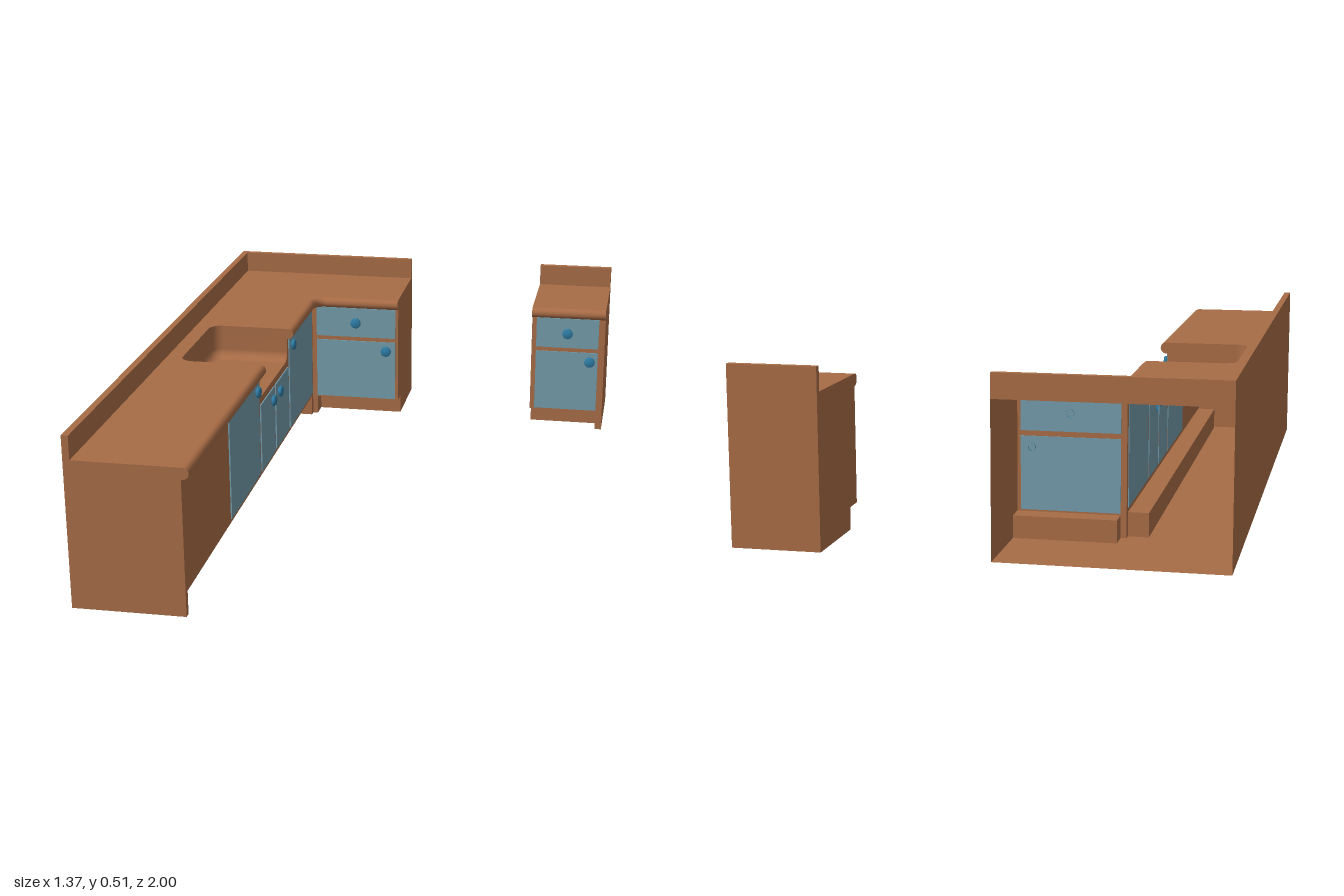
import * as THREE from 'three';

const paint = (color) => new THREE.MeshStandardMaterial({ color, side: THREE.DoubleSide });
const wood = paint(0xa86c46), blue = paint(0x739baa), knobBlue = paint(0x2e7da6);

// Main dimensions
const TOP = 0.44, SPLASH = 0.51, LIP = 0.405;
const XB = -0.685, XF = -0.357, XE = -0.045;     // long run back and front, end of the return
const ZB = -1, ZF = -0.682;                      // back and front of the return and small unit
const KICK = 0.065, DEPTH = 0.06;                // toe recess height and depth
const SINK = { z0: 0.115, z1: -0.275, back: -0.615, floor: 0.33, r: 0.03 };

function add(parent, name, geometry, material = wood) {
  const mesh = new THREE.Mesh(geometry, material);
  mesh.name = name;
  parent.add(mesh);
  return mesh;
}

// Flat panel across one axis: x takes (z, y) points, y takes (x, z), z takes (x, y)
function sheet(parent, name, axis, at, pts, holes = []) {
  const shape = new THREE.Shape(pts.map(([a, b]) => new THREE.Vector2(a, b)));
  for (const [a0, a1, b0, b1] of holes)
    shape.holes.push(new THREE.Path([[a0, b0], [a0, b1], [a1, b1], [a1, b0]].map(([a, b]) => new THREE.Vector2(a, b))));
  const g = new THREE.ShapeGeometry(shape), p = g.attributes.position;
  for (let i = 0; i < p.count; i++) {
    const a = p.getX(i), b = p.getY(i);
    if (axis === 'x') p.setXYZ(i, at, b, a);
    else if (axis === 'y') p.setXYZ(i, a, at, b);
    else p.setXYZ(i, a, b, at);
  }
  g.computeVertexNormals();
  return add(parent, name, g);
}
const rect = (a0, a1, b0, b1) => [[a0, b0], [a1, b0], [a1, b1], [a0, b1]];

// Surface through rows of equally many points
function loft(parent, name, rows) {
  const n = rows[0].length, index = [];
  for (let i = 0; i < rows.length - 1; i++)
    for (let j = 0; j < n - 1; j++) {
      const a = i * n + j, b = a + n;
      index.push(a, b, a + 1, b, b + 1, a + 1);
    }
  const g = new THREE.BufferGeometry();
  g.setAttribute('position', new THREE.Float32BufferAttribute(rows.flat(2), 3));
  g.setIndex(index);
  g.computeVertexNormals();
  return add(parent, name, g);
}

function box(parent, name, x0, x1, y0, y1, z0, z1, material = wood) {
  const g = new THREE.BoxGeometry(x1 - x0, y1 - y0, z1 - z0);
  g.translate((x0 + x1) / 2, (y0 + y1) / 2, (z0 + z1) / 2);
  return add(parent, name, g, material);
}

const arc = (cx, cz, r, a0, a1, n = 8) => Array.from({ length: n + 1 }, (_, i) => {
  const a = (a0 + (a1 - a0) * i / n) * Math.PI / 180;
  return [cx + r * Math.cos(a), cz + r * Math.sin(a)];
});

// Rounded counter edge swept along a path of (x, z) points, with end caps
function bullnose(parent, path) {
  const profile = [[0, TOP], ...arc(0.0045, (TOP + LIP) / 2, (TOP - LIP) / 2, 90, -90, 10), [-0.022, LIP]];
  const rows = path.map(([x, z], i) => {
    const p = path[Math.max(i - 1, 0)], q = path[Math.min(i + 1, path.length - 1)];
    const l = Math.hypot(q[0] - p[0], q[1] - p[1]);
    const nx = -(q[1] - p[1]) / l, nz = (q[0] - p[0]) / l;
    return profile.map(([o, y]) => [x + nx * o, y, z + nz * o]);
  });
  loft(parent, 'counterEdge', rows);
  for (const [row, [x, z]] of [[rows[0], path[0]], [rows.at(-1), path.at(-1)]])
    loft(parent, 'counterEdgeCap', [row, row.map(() => [x, 0.4225, z])]);
}

// Door or drawer front [a0, a1, y0, y1, knobA, knobY], facing x or z
function fronts(parent, axis, at, list) {
  const profile = [[0.011, -0.006], [0.011, 0.005], [0.018, 0.008], [0.018, 0.014], [0.014, 0.018], [0, 0.019]];
  for (const [a0, a1, y0, y1, ka, ky] of list) {
    const lo = at - 0.002, hi = at + 0.004;
    if (axis === 'x') box(parent, 'door', lo, hi, y0, y1, a0, a1, blue);
    else box(parent, y1 > 0.4 ? 'drawer' : 'door', a0, a1, y0, y1, lo, hi, blue);
    const g = new THREE.LatheGeometry(profile.map(([r, h]) => new THREE.Vector2(r, h)), 20);
    g.rotateX(Math.PI / 2);
    if (axis === 'x') g.rotateY(Math.PI / 2);
    const knob = add(parent, 'knob', g, knobBlue);
    if (axis === 'x') knob.position.set(at, ky, ka);
    else knob.position.set(ka, ky, at);
  }
}

// Plan of the open-fronted sink, shrunk by an inset
function sinkPlan(i) {
  const { z0, z1, back } = SINK, r = 0.04 - i, x = back + 0.04;
  return [[XF, z0 - i], ...arc(x, z0 - 0.04, r, 90, 180), ...arc(x, z1 + 0.04, r, 180, 270), [XF, z1 + i]];
}

function cornerRun() {
  const g = new THREE.Group();
  g.name = 'cornerCounter';
  const doors = [
    [0.139, 0.507, 0.083, 0.404, 0.174, 0.37],
    [-0.07, 0.118, 0.083, 0.307, -0.032, 0.272],
    [-0.275, -0.088, 0.083, 0.307, -0.126, 0.272],
    [-0.658, -0.294, 0.083, 0.404, -0.329, 0.37],
  ];
  const drawers = [
    [-0.34, -0.055, 0.297, 0.403, -0.197, 0.35],
    [-0.34, -0.055, 0.07, 0.282, -0.088, 0.25],
  ];
  const XK = XF - DEPTH, ZK = ZF - DEPTH, K = 0.07;

  // Sink basin with a rounded foot
  const { z0, z1, floor, r } = SINK;
  const levels = [[0, TOP], ...arc(r, floor + r, r, 180, 270, 6)];
  loft(g, 'sinkWall', levels.map(([i, y]) => sinkPlan(i).map(([x, z]) => [x, y, z])));
  sheet(g, 'sinkFloor', 'y', floor, sinkPlan(r));

  // Worktop and its rounded edge
  const bend = [[XF, z1], ...arc(XF + 0.052, ZF + 0.052, 0.052, 180, 270), [XE, ZF]];
  sheet(g, 'worktop', 'y', TOP, [[XB, ZB], [XB, 1], [XF, 1], ...sinkPlan(0), ...bend.slice(1), [XE, ZB]]);
  bullnose(g, [[XF, 1], [XF, z0]]);
  bullnose(g, bend);

  // Face panels, notched for the sink and toe recess
  const notch = [...levels.map(([i, y]) => [z1 + i, y]), ...levels.map(([i, y]) => [z0 - i, y]).reverse()];
  sheet(g, 'longFace', 'x', XF, [[1, 0], [0.98, 0], [0.98, K], [-0.66, K], [-0.66, 0], [ZF, 0], [ZF, TOP],
    ...notch, [1, TOP]], doors);
  sheet(g, 'returnFace', 'z', ZF, [[XF, 0], [-0.34, 0], [-0.34, KICK], [XE, KICK], [XE, TOP], [XF, TOP]], drawers);
  fronts(g, 'x', XF, doors);
  fronts(g, 'z', ZF, drawers);

  // Toe recesses
  sheet(g, 'longToeKick', 'x', XK, rect(-0.66, 0.98, 0, K));
  sheet(g, 'longToeSoffit', 'y', K, rect(XK, XF, -0.66, 0.98));
  for (const z of [-0.66, 0.98]) sheet(g, 'longToeEnd', 'z', z, rect(XK, XF, 0, K));
  sheet(g, 'returnToeKick', 'z', ZK, rect(-0.34, XE, 0, KICK));
  sheet(g, 'returnToeSoffit', 'y', KICK, rect(-0.34, XE, ZK, ZF));
  sheet(g, 'returnToeEnd', 'x', -0.34, rect(ZK, ZF, 0, KICK));

  // Carcass, open at the rear of the return
  sheet(g, 'floor', 'y', 0, [[XB, 1], [XF, 1], [XF, 0.98], [XK, 0.98], [XK, -0.66], [XF, -0.66], [XF, ZF],
    [-0.34, ZF], [-0.34, ZK], [XE, ZK], [XE, ZB], [XB, ZB]]);
  sheet(g, 'longBack', 'x', XB, rect(ZB, 1, 0, TOP));
  sheet(g, 'longEnd', 'z', 1, rect(XB, XF, 0, TOP));
  sheet(g, 'returnEnd', 'x', XE, [[ZB, 0], [ZK, 0], [ZK, KICK], [ZF, KICK], [ZF, TOP], [ZB, TOP]]);
  box(g, 'longBacksplash', XB, XB + 0.02, TOP, SPLASH, ZB, 1);
  box(g, 'returnBacksplash', XB + 0.02, XE, TOP, SPLASH, ZB, ZB + 0.02);
  return g;
}

function smallUnit() {
  const g = new THREE.Group();
  g.name = 'smallCabinet';
  const L = 0.43, P = 0.662, R = 0.685, ZK = ZF - DEPTH;
  const drawers = [
    [0.446, 0.663, 0.297, 0.403, 0.555, 0.35],
    [0.446, 0.663, 0.07, 0.282, 0.635, 0.25],
  ];
  sheet(g, 'face', 'z', ZF, [[L, KICK], [P, KICK], [P, 0], [R, 0], [R, TOP], [L, TOP]], drawers);
  fronts(g, 'z', ZF, drawers);
  sheet(g, 'toeKick', 'z', ZK, rect(L, P, 0, KICK));
  sheet(g, 'toeSoffit', 'y', KICK, rect(L, P, ZK, ZF));
  sheet(g, 'toeEnd', 'x', P, rect(ZK, ZF, 0, KICK));
  sheet(g, 'floor', 'y', 0, [[L, ZB], [L, ZK], [P, ZK], [P, ZF], [R, ZF], [R, ZB]]);
  sheet(g, 'leftSide', 'x', R, rect(ZB, ZF, 0, TOP));
  sheet(g, 'rightSide', 'x', L, [[ZB, 0], [ZK, 0], [ZK, KICK], [ZF, KICK], [ZF, TOP], [ZB, TOP]]);
  sheet(g, 'back', 'z', ZB, rect(L, R, 0, TOP));
  sheet(g, 'worktop', 'y', TOP, rect(L, R, ZB, ZF));
  bullnose(g, [[L, ZF], [R, ZF]]);
  box(g, 'backsplash', L, R, TOP, SPLASH, ZB, ZB + 0.02);
  return g;
}

export function createModel() {
  const model = new THREE.Group();
  model.name = 'kitchenCounters';
  model.add(cornerRun(), smallUnit());
  return model;
}
